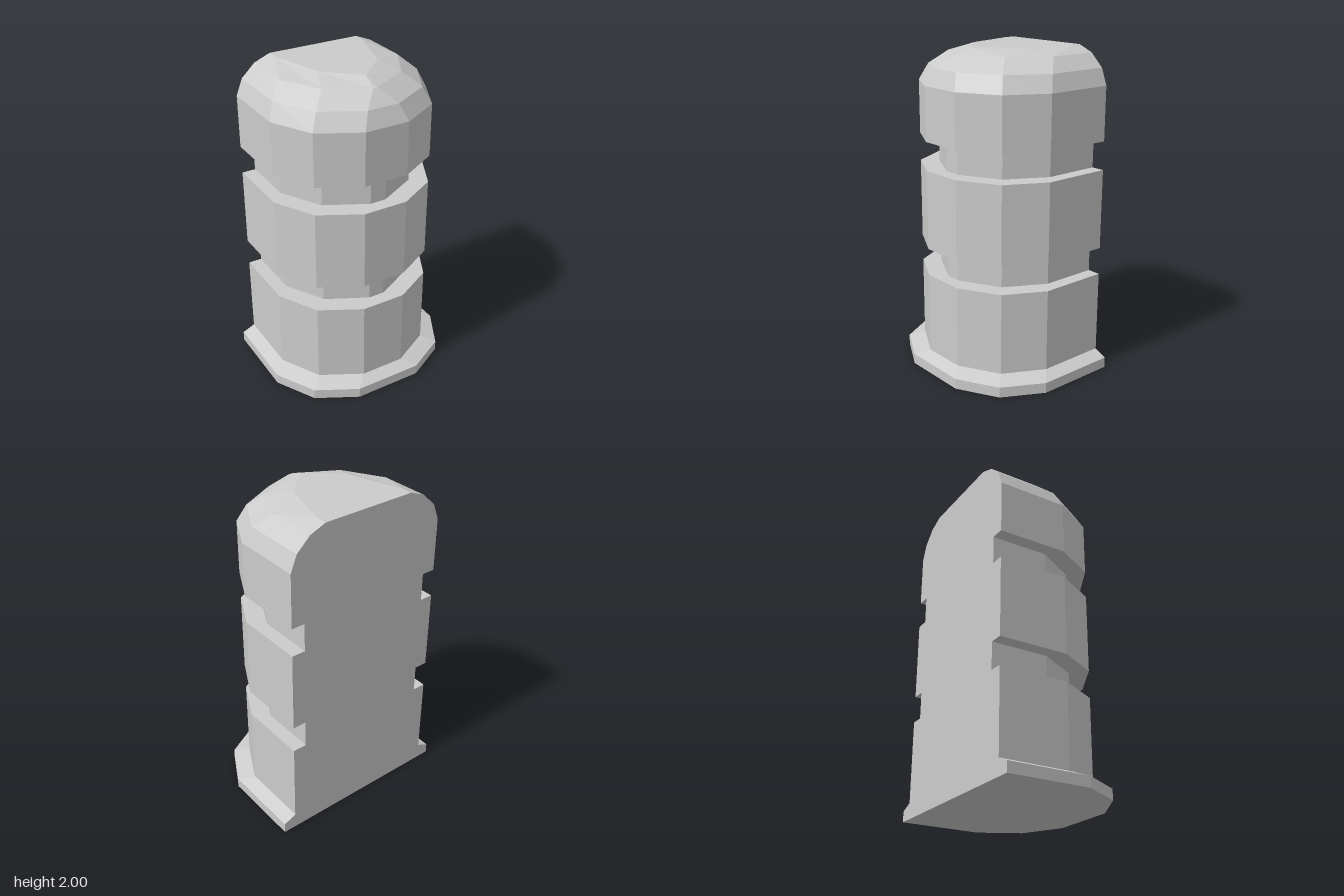
import * as THREE from 'three';

const BACK = -0.45;

// Half outline of one level (back, side, corner, front), mirrored into a closed ring.
function ring(y, side, corner, front) {
  const half = [[side[0], BACK], side, corner, front];
  const all = half.concat(half.slice().reverse().map(([x, z]) => [-x, z]));
  return all.map(([x, z]) => new THREE.Vector3(x, y, z));
}

const flange = y => ring(y, [0.6, 0.06], [0.465, 0.31], [0.215, 0.445]);
const body = y => ring(y, [0.52, -0.015], [0.39, 0.235], [0.14, 0.37]);
const groove = y => ring(y, [0.435, -0.095], [0.3, 0.155], [0.05, 0.285]);

// Skin a stack of rings and close both ends.
function loft(rings) {
  const pos = [];
  const tri = (...pts) => pts.forEach(p => pos.push(p.x, p.y, p.z));
  const n = rings[0].length;
  for (let i = 0; i < rings.length - 1; i++) {
    for (let j = 0; j < n; j++) {
      const k = (j + 1) % n;
      const a = rings[i][j], b = rings[i][k], c = rings[i + 1][k], d = rings[i + 1][j];
      tri(a, d, c);
      tri(a, c, b);
    }
  }
  const low = rings[0], high = rings[rings.length - 1];
  const lowMid = new THREE.Vector3(0, low[0].y, BACK);
  const highMid = new THREE.Vector3(0, high[0].y, BACK);
  for (let j = 0; j < n - 1; j++) {
    tri(lowMid, low[j], low[j + 1]);
    tri(highMid, high[j + 1], high[j]);
  }
  const geo = new THREE.BufferGeometry();
  geo.setAttribute('position', new THREE.Float32BufferAttribute(pos, 3));
  geo.computeVertexNormals();
  return geo;
}

export function createModel() {
  const group = new THREE.Group();
  group.name = 'bollard';
  const material = new THREE.MeshStandardMaterial({ color: 0xcccccc, flatShading: true });

  const rings = [
    // flared foot
    flange(0), flange(0.065), body(0.1),
    // shaft with two recessed bands
    body(0.61), groove(0.61), groove(0.78), body(0.78),
    body(1.275), groove(1.275), groove(1.45), body(1.45), body(1.78),
    // rounded cap
    ring(1.88, [0.48, -0.055], [0.345, 0.195], [0.1, 0.325]),
    ring(1.96, [0.395, -0.14], [0.26, 0.105], [0.015, 0.24]),
    ring(2, [0.295, -0.38], [0.195, -0.045], [0, 0.14]),
  ];
  const post = new THREE.Mesh(loft(rings), material);
  post.name = 'post';
  group.add(post);
  return group;
}
